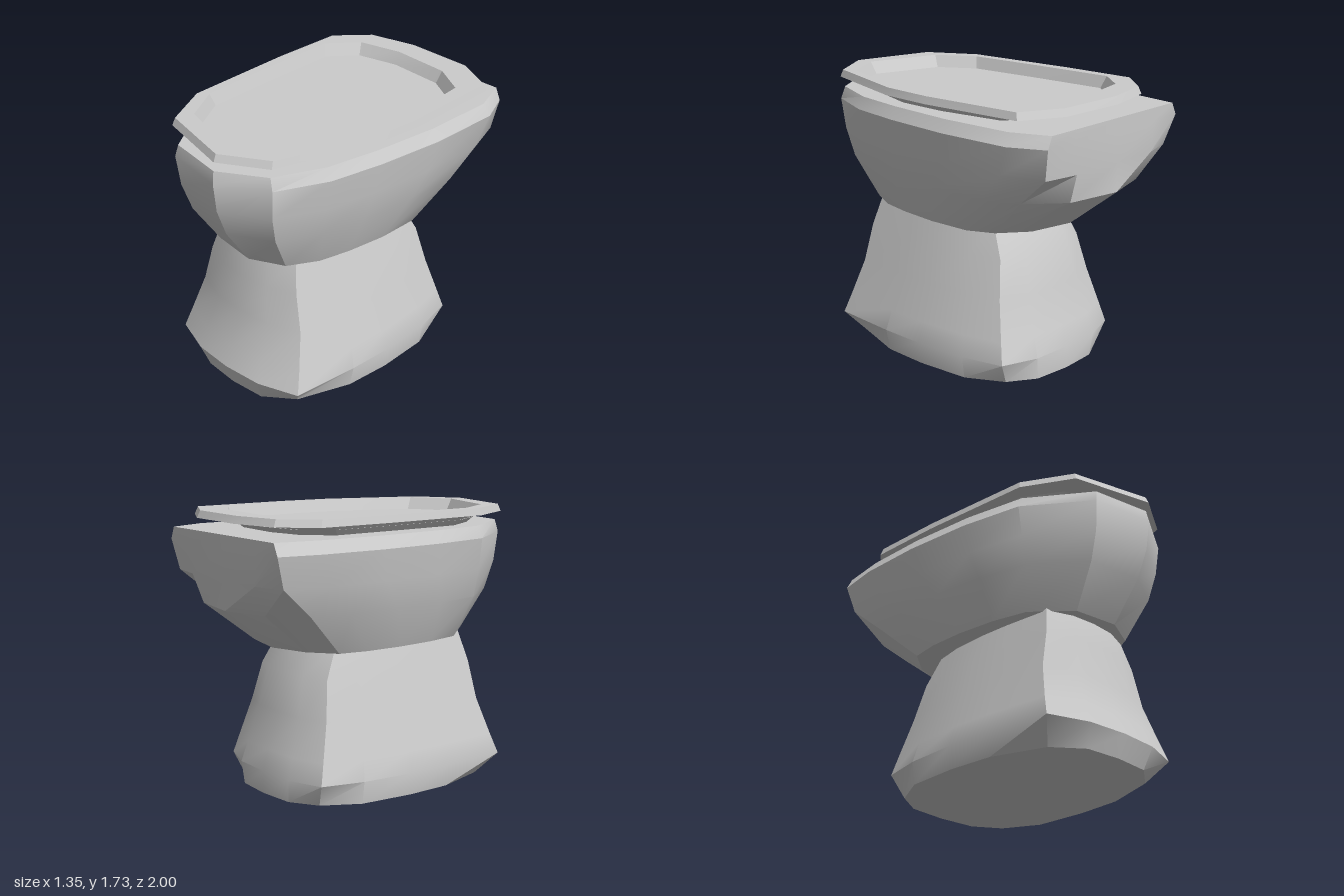
import * as THREE from 'three';
import { toCreasedNormals } from 'three/addons/utils/BufferGeometryUtils.js';

// Skin a stack of equal-length rings of [x, y, z], capped at both ends
function loft(rings, crease) {
  const n = rings[0].length;
  const pos = rings.flat(2);
  const index = [];
  for (let r = 0; r < rings.length - 1; r++) {
    for (let i = 0; i < n; i++) {
      const j = (i + 1) % n;
      const a = r * n + i, b = r * n + j, c = b + n, d = a + n;
      index.push(a, b, c, a, c, d);
    }
  }
  const cap = (r, up) => {
    const centre = [0, 1, 2].map(k => rings[r].reduce((s, p) => s + p[k], 0) / n);
    const m = pos.length / 3;
    pos.push(...centre);
    for (let i = 0; i < n; i++) {
      const a = r * n + i, b = r * n + (i + 1) % n;
      index.push(...(up ? [m, a, b] : [m, b, a]));
    }
  };
  cap(0, false);
  cap(rings.length - 1, true);
  const g = new THREE.BufferGeometry();
  g.setAttribute('position', new THREE.Float32BufferAttribute(pos, 3));
  g.setIndex(index);
  return toCreasedNormals(g, crease);
}

// Map an outline to height y with its own half width factor and z range
function ring(outline, y, sx, front, back) {
  const zs = outline.map(p => p[1]);
  const hi = Math.max(...zs), lo = Math.min(...zs);
  return outline.map(([x, z]) => [x * sx, y, back + (front - back) * (z - lo) / (hi - lo)]);
}

export function createModel() {
  const group = new THREE.Group();
  const ceramic = new THREE.MeshStandardMaterial({ color: 0xcccccc });
  ceramic.name = 'ceramic';
  const add = (name, geometry) => {
    const mesh = new THREE.Mesh(geometry, ceramic);
    mesh.name = name;
    group.add(mesh);
  };

  // Pedestal: flared square column with a bevelled foot
  const half = [[0.27, 0.83], [0.53, 0.74], [0.57, 0.3], [0.58, 0], [0.56, -0.35], [0.5, -0.62], [0.27, -0.7]];
  const mirror = pts => pts.slice().reverse().map(([x, z]) => [-x, z]);
  const foot = [[0, 0.85], ...half, [0, -0.71], ...mirror(half)];
  const soleHalf = [[0.24, 0.78], [0.42, 0.64], [0.54, 0.3], [0.56, 0], [0.54, -0.35], [0.42, -0.58], [0.25, -0.69]];
  const sole = [[0, 0.8], ...soleHalf, [0, -0.71], ...mirror(soleHalf)].map(([x, z]) => [x, 0, z]);
  const pedestalRings = [
    [0.14, 1, 0.85, -0.71], [0.27, 0.94, 0.8, -0.67], [0.5, 0.83, 0.72, -0.6],
    [0.74, 0.72, 0.69, -0.55], [0.94, 0.62, 0.63, -0.44],
  ].map(a => ring(foot, ...a));
  add('pedestal', loft([sole, ...pedestalRings], 0.55));

  // Bowl: swelling oval, cut flat at the back
  const bowlOutline = [
    [0.13, 0.995], [0.43, 0.82], [0.57, 0.5], [0.63, 0.15], [0.67, -0.3], [0.66, -0.78],
    [0.56, -1.06], [0.32, -1.3], [-0.08, -1.4], [-0.42, -1.27], [-0.64, -1.04],
    [-0.68, -0.72], [-0.68, -0.3], [-0.64, 0.15], [-0.56, 0.55], [-0.28, 0.93],
  ];
  const bowlRings = [
    [0.915, 0.72, 0.72, -0.67], [1.17, 0.885, 0.9, -1.02], [1.35, 0.95, 0.97, -1.28],
    [1.54, 1, 0.995, -1.4], [1.615, 0.94, 0.98, -1.37],
  ].map(a => ring(bowlOutline, ...a).map(([x, y, z]) => [x, y, Math.max(z, -1)]));
  add('bowl', loft(bowlRings, 0.5));

  // Lid: bevelled rim around a sunken panel
  const outer = [
    [0.14, 0.99], [0.43, 0.82], [0.62, 0.2], [0.64, -0.14], [0.6, -0.81], [0.335, -0.945],
    [-0.12, -0.96], [-0.435, -0.89], [-0.615, -0.69], [-0.605, -0.2], [-0.55, 0.55], [-0.38, 0.86],
  ];
  const inner = [
    [0.12, 0.87], [0.38, 0.73], [0.55, 0.22], [0.56, -0.15], [0.5, -0.63], [0.28, -0.76],
    [-0.11, -0.79], [-0.39, -0.73], [-0.54, -0.55], [-0.515, 0], [-0.48, 0.49], [-0.335, 0.73],
  ];
  const at = (pts, y, s = 1) => pts.map(([x, z]) => [x * s, y, z * s]);
  add('lid', loft([
    at(inner, 1.612, 0.88), at(inner, 1.675, 0.98), at(outer, 1.68),
    at(outer, 1.725, 0.98), at(inner, 1.725), at(inner, 1.65, 0.95),
  ], 0.4));

  return group;
}
